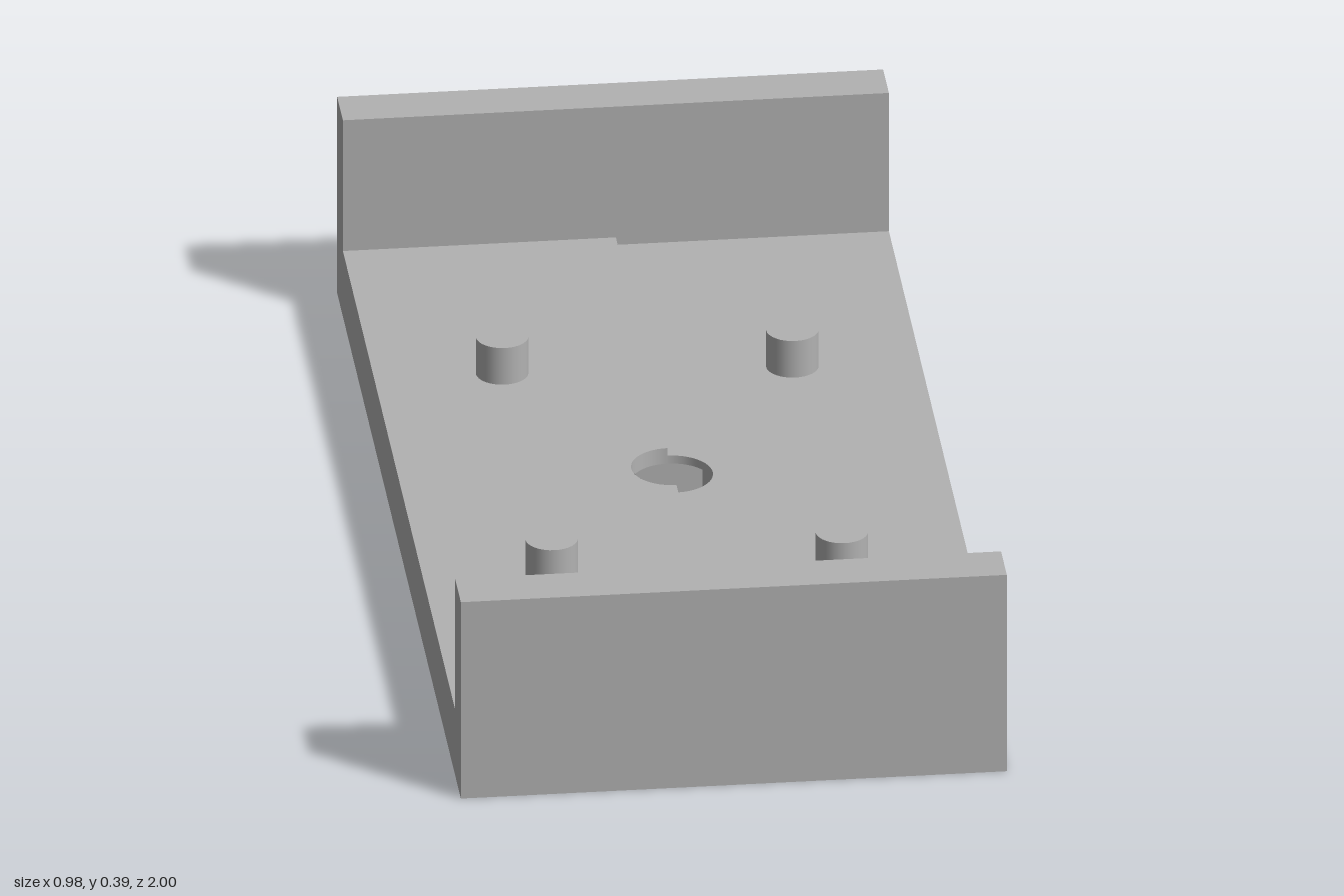
import * as THREE from 'three';

const W = 0.489, L = 1, H = 0.392;    // half width, half length, end wall height
const IN = 0.907;                     // inner face of the end walls
const LOW = 0.116, HIGH = 0.131;      // floor heights on the +x and -x halves
const HOLE = 0.073, HEX = 0.135, POCKET = 0.1;

const polygon = (pts) => new THREE.Shape(pts.map(([x, y]) => new THREE.Vector2(x, y)));
const rect = (x0, y0, x1, y1) => polygon([[x0, y0], [x1, y0], [x1, y1], [x0, y1]]);
const hexagon = () => polygon(Array.from({ length: 6 }, (_, i) =>
  [HEX * Math.cos(i * Math.PI / 3), HEX * Math.sin(i * Math.PI / 3)]));

export function createModel() {
  const group = new THREE.Group();
  const grey = new THREE.MeshStandardMaterial({ color: 0xb2b2b2, side: THREE.DoubleSide });
  grey.name = 'plain grey';

  function add(name, geometry, x = 0, y = 0, z = 0) {
    const mesh = new THREE.Mesh(geometry, grey);
    mesh.name = name;
    mesh.position.set(x, y, z);
    group.add(mesh);
  }
  // Flat panels turned to face up, down, or around the vertical axis
  const up = (shape) => new THREE.ShapeGeometry(shape, 24).rotateX(-Math.PI / 2);
  const down = (shape) => new THREE.ShapeGeometry(shape, 24).rotateX(Math.PI / 2);
  const turned = (shape, angle) => new THREE.ShapeGeometry(shape, 24).rotateY(angle);

  // Underside with the hexagonal nut pocket
  const base = rect(-W, -L, W, L);
  base.holes.push(hexagon());
  add('underside', down(base));

  const pocketWall = new THREE.CylinderGeometry(HEX, HEX, POCKET, 6, 1, true, Math.PI / 2).toNonIndexed();
  pocketWall.computeVertexNormals();
  add('nutPocketWall', pocketWall, 0, POCKET / 2, 0);

  const ceiling = hexagon();
  ceiling.holes.push(new THREE.Path().absarc(0, 0, HOLE, 0, Math.PI * 2, false));
  add('nutPocketCeiling', down(ceiling), 0, POCKET, 0);

  // The two floor halves, each with its side face, half of the hole and two pins
  for (const s of [1, -1]) {
    const side = s > 0 ? 'left' : 'right';
    const y = s > 0 ? LOW : HIGH;

    const floor = polygon([[0, -IN], [s * W, -IN], [s * W, IN], [0, IN], [0, HOLE]]);
    floor.absarc(0, 0, HOLE, Math.PI / 2, s > 0 ? -Math.PI / 2 : Math.PI * 1.5, s > 0);
    add(side + 'Floor', up(floor), 0, y, 0);

    const profile = polygon([[-L, 0], [L, 0], [L, H], [IN, H], [IN, y], [-IN, y], [-IN, H], [-L, H]]);
    add(side + 'Side', turned(profile, s * Math.PI / 2), s * W, 0, 0);

    const depth = y - POCKET;
    add(side + 'HoleWall', new THREE.CylinderGeometry(HOLE, HOLE, depth, 24, 1, true,
      s > 0 ? 0 : Math.PI, Math.PI), 0, POCKET + depth / 2, 0);

    for (const z of [-0.4, 0.4]) {
      add(side + 'Pin', new THREE.CylinderGeometry(0.047, 0.047, 0.073, 32), s * 0.26, y + 0.0365, z);
    }
  }

  // End walls and the step between the floor halves
  for (const s of [1, -1]) {
    const end = s > 0 ? 'front' : 'back';
    add(end + 'OuterFace', turned(rect(-W, 0, W, H), s > 0 ? 0 : Math.PI), 0, 0, s * L);
    add(end + 'WallTop', up(rect(-W, -(L - IN) / 2, W, (L - IN) / 2)), 0, H, s * (L + IN) / 2);

    const inner = polygon([[s * W, HIGH], [0, HIGH], [0, LOW], [-s * W, LOW], [-s * W, H], [s * W, H]]);
    add(end + 'InnerFace', turned(inner, s > 0 ? Math.PI : 0), 0, 0, s * IN);

    const span = (IN - HOLE) / 2;
    add(end + 'FloorStep', turned(rect(-span, LOW, span, HIGH), Math.PI / 2), 0, 0, s * (IN + HOLE) / 2);
  }
  return group;
}
